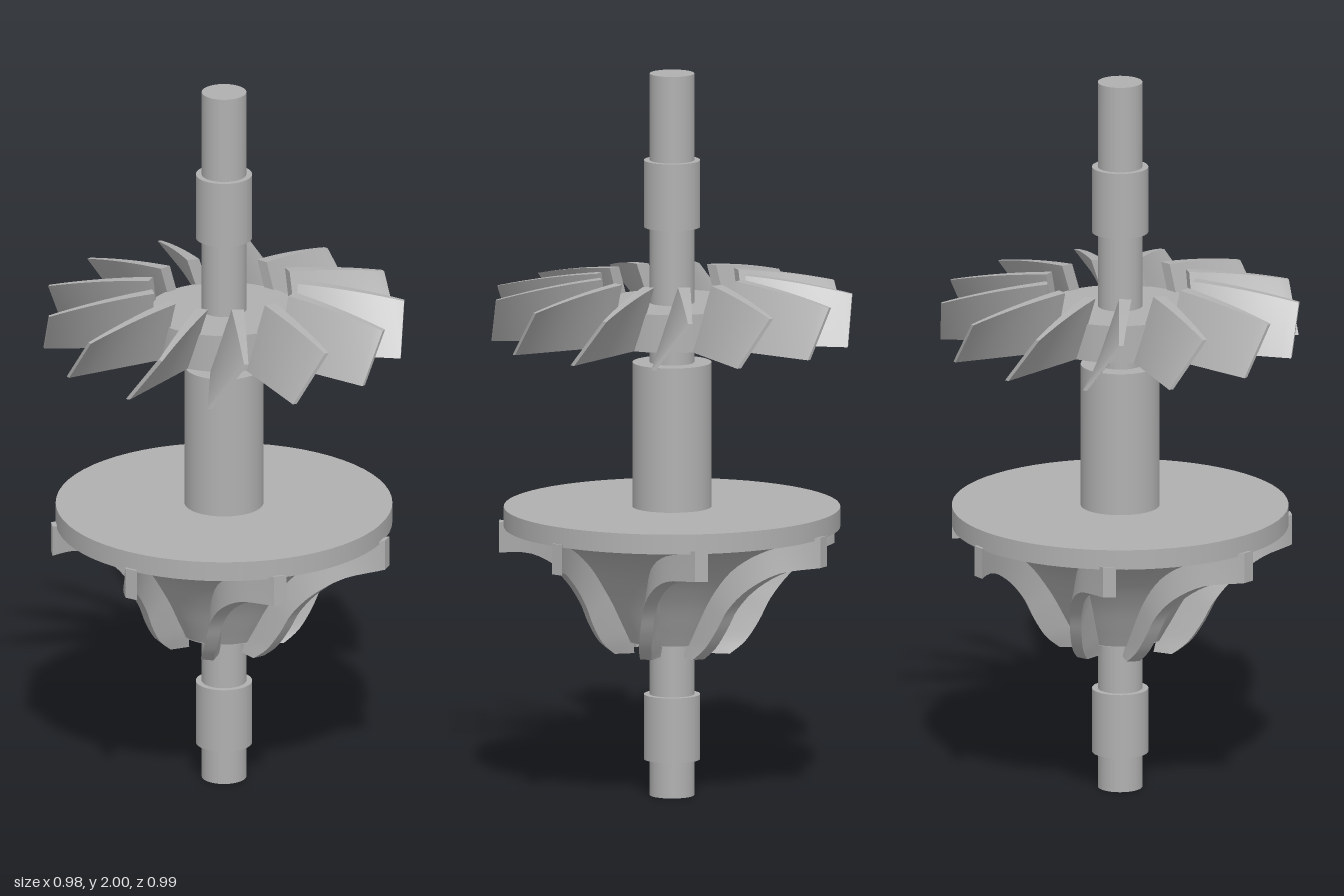
import * as THREE from 'three';

const steel = new THREE.MeshStandardMaterial({ color: 0xb0b0b0 });
steel.name = 'steel grey';

function add(parent, name, geometry) {
  const mesh = new THREE.Mesh(geometry, steel);
  mesh.name = name;
  parent.add(mesh);
  return mesh;
}

// Upright cylinder between two heights
function cylinder(parent, name, radius, y0, y1) {
  const g = new THREE.CylinderGeometry(radius, radius, y1 - y0, 64);
  add(parent, name, g).position.y = (y0 + y1) / 2;
}

// Four-sided loft with sharp long edges; corners run anticlockwise seen from the far end
function loft(sections) {
  const pos = [], index = [], n = sections.length;
  for (let j = 0; j < 4; j++) {
    const base = pos.length / 3;
    sections.forEach((s) => pos.push(...s[j], ...s[(j + 1) % 4]));
    for (let i = 0; i < n - 1; i++) {
      const p = base + i * 2;
      index.push(p, p + 1, p + 3, p, p + 3, p + 2);
    }
  }
  for (const s of [[...sections[0]].reverse(), sections[n - 1]]) {
    const b = pos.length / 3;
    s.forEach((c) => pos.push(...c));
    index.push(b, b + 1, b + 2, b, b + 2, b + 3);
  }
  const g = new THREE.BufferGeometry();
  g.setAttribute('position', new THREE.Float32BufferAttribute(pos, 3));
  g.setIndex(index);
  g.computeVertexNormals();
  return g;
}

// Twisted, tapering blade pointing along +x
function turbineBlade() {
  const lerp = THREE.MathUtils.lerp, sections = [], steps = 10;
  for (let i = 0; i <= steps; i++) {
    const t = i / steps;
    const x = lerp(0.2, 0.49, t);
    const bottom = 1.26, top = 1.44 - 0.03 * t - 0.02 * t * t;
    const topBack = lerp(-0.05, -0.055, t), topFront = lerp(-0.016, -0.043, t);
    const lowBack = lerp(0.008, 0.045, t), lowFront = lerp(0.042, 0.057, t);
    sections.push([[x, bottom, lowBack], [x, top, topBack], [x, top, topFront], [x, bottom, lowFront]]);
  }
  return loft(sections);
}

const curve = (points) => new THREE.SplineCurve(points.map(([r, y]) => new THREE.Vector2(r, y)));

// Backswept vane from the eye out to the rim, its tip on +x
function impellerVane() {
  const inner = curve([[0.11, 0.4], [0.12, 0.45], [0.16, 0.53], [0.21, 0.61], [0.28, 0.69], [0.37, 0.735], [0.473, 0.755]]);
  const outer = curve([[0.165, 0.4], [0.205, 0.435], [0.24, 0.49], [0.27, 0.55], [0.32, 0.61], [0.39, 0.657], [0.473, 0.67]]);
  const sections = [], steps = 24;
  for (let i = 0; i <= steps; i++) {
    const a = inner.getPoint(i / steps), b = outer.getPoint(i / steps);
    const angle = -2.0 * (0.473 - b.x);
    const c = Math.cos(angle), s = Math.sin(angle);
    const at = (p, side) => [p.x * c + side * s, p.y, -p.x * s + side * c];
    const h = 0.018;
    sections.push([at(b, -h), at(a, -h), at(a, h), at(b, h)]);
  }
  return loft(sections);
}

export function createModel() {
  const model = new THREE.Group();
  model.name = 'turbine rotor';

  // Shaft with its bearings and spacer
  cylinder(model, 'shaft', 0.061, 0, 2);
  cylinder(model, 'lowerBearing', 0.077, 0.1, 0.28);
  cylinder(model, 'upperBearing', 0.077, 1.575, 1.76);
  cylinder(model, 'spacerSleeve', 0.108, 0.8, 1.2);

  // Turbine wheel
  const turbine = new THREE.Group();
  turbine.name = 'turbineWheel';
  model.add(turbine);
  cylinder(turbine, 'turbineHub', 0.207, 1.26, 1.365);
  const blade = turbineBlade();
  for (let i = 0; i < 13; i++) {
    add(turbine, 'turbineBlade', blade).rotation.y = (i / 13) * Math.PI * 2;
  }

  // Compressor wheel
  const compressor = new THREE.Group();
  compressor.name = 'compressorWheel';
  model.add(compressor);
  cylinder(compressor, 'backPlate', 0.46, 0.745, 0.8);
  cylinder(compressor, 'hubEnd', 0.125, 0.43, 0.435);
  const profile = curve([[0.125, 0.432], [0.15, 0.48], [0.2, 0.57], [0.27, 0.66], [0.36, 0.72], [0.458, 0.746]]);
  add(compressor, 'compressorHub', new THREE.LatheGeometry(profile.getPoints(24), 64));
  const vane = impellerVane();
  for (let i = 0; i < 7; i++) {
    add(compressor, 'compressorVane', vane).rotation.y = THREE.MathUtils.degToRad(-14) + (i / 7) * Math.PI * 2;
  }

  return model;
}
